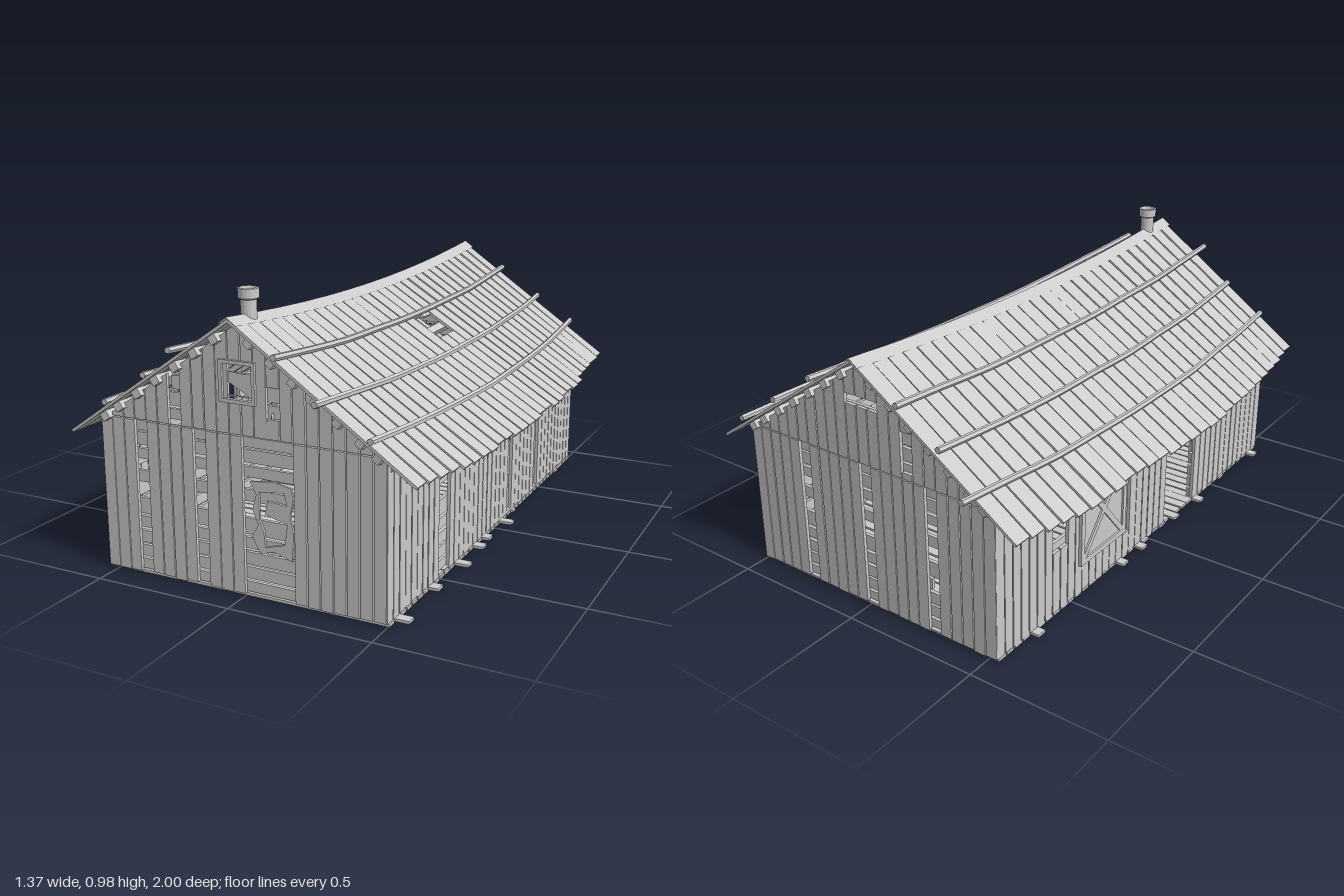
import * as THREE from 'three';

const mat = new THREE.MeshStandardMaterial({ color: 0xcccccc, flatShading: true, side: THREE.DoubleSide });
const RX = -0.012; // ridge x
let seed = 7;
const rnd = (a = 0, b = 1) => {
  seed = (seed * 16807) % 2147483647;
  return a + (b - a) * (seed / 2147483647);
};
const V = (x, y, z) => new THREE.Vector3(x, y, z);

function add(parent, geo, name) {
  const m = new THREE.Mesh(geo, mat);
  m.name = name;
  parent.add(m);
  return m;
}
function group(parent, name) {
  const g = new THREE.Group();
  g.name = name;
  parent.add(g);
  return g;
}
// Box given by its limits
function box(parent, x0, x1, y0, y1, z0, z1, name) {
  const m = add(parent, new THREE.BoxGeometry(x1 - x0, y1 - y0, z1 - z0), name);
  m.position.set((x0 + x1) / 2, (y0 + y1) / 2, (z0 + z1) / 2);
  return m;
}
// Flat outline with thickness d, optional hole
function plate(parent, pts, z, d, name, hole) {
  const s = new THREE.Shape(pts.map(p => new THREE.Vector2(p[0], p[1])));
  if (hole) s.holes.push(new THREE.Path(hole.map(p => new THREE.Vector2(p[0], p[1]))));
  const m = add(parent, new THREE.ExtrudeGeometry(s, { depth: d, bevelEnabled: false }), name);
  m.position.z = z;
  return m;
}
// Straight plank from a to b, w wide along z, t thick
function plank(parent, a, b, w, t, name) {
  const x = b.clone().sub(a), len = x.length();
  x.normalize();
  const y = V(0, 0, 1).cross(x).normalize();
  const m = add(parent, new THREE.BoxGeometry(len, t, w), name);
  m.quaternion.setFromRotationMatrix(new THREE.Matrix4().makeBasis(x, y, x.clone().cross(y)));
  m.position.copy(a).add(b).multiplyScalar(0.5);
  return m;
}

// Sagging roof surface: t runs from ridge (0) to eave (1)
function roofPoint(side, t, z, lift = 0) {
  const u = (z / 0.94) ** 2;
  return V(RX + side * t * (0.675 - 0.055 * u),
    0.86 + 0.042 * u - t * (0.41 + 0.02 * u) + lift, z);
}

// Remove openings from the interval [a,b]
function pieces(a, b, cuts) {
  let list = [[a, b]];
  for (const [c, d] of cuts) {
    list = list.flatMap(([p, q]) => d <= p || c >= q ? [[p, q]] : [[p, c], [d, q]]).filter(([p, q]) => q - p > 0.004);
  }
  return list;
}

const LATHS = [[0.015, 0.05], [0.06, 0.1], [0.108, 0.15], [0.162, 0.2], [0.21, 0.265], [0.32, 0.36],
  [0.4, 0.435], [0.447, 0.49], [0.497, 0.53], [0.55, 0.585], [0.595, 0.64], [0.65, 0.695], [0.705, 0.735], [0.77, 0.8]];

// Vertical boards over horizontal laths; local x along the wall, local z outward.
// gaps: missing boards, holes: openings through boards and laths; each [u0,u1,y0,y1]
function wall(parent, name, u0, u1, n, gableCentre, gaps, holes) {
  const g = group(parent, name), p = (u1 - u0) / n;
  const all = gaps.concat(holes);
  const top = u => 0.878 - 0.69 * Math.abs(u - gableCentre);
  for (let i = 0; i < n; i++) {
    const a = u0 + i * p + rnd(0.001, 0.003), b = u0 + (i + 1) * p - rnd(0.001, 0.003), c = (a + b) / 2;
    const cuts = all.filter(h => h[0] < c && c < h[1]).map(h => [h[2], h[3]]);
    for (const [s, e] of pieces(0.008 + rnd(0, 0.006), 0.533, cuts)) box(g, a, b, s, e, -0.012, 0, 'wallBoard');
    if (gableCentre === null) continue;
    const low = Math.min(top(a), top(b));
    for (const [s, e] of pieces(0.537, low, cuts)) {
      const pts = [[a, s], [b, s], [b, e], [a, e]];
      if (e === low) {
        pts.splice(2, 2, [b, top(b)]);
        if (a < gableCentre && b > gableCentre) pts.push([gableCentre, top(gableCentre)]);
        pts.push([a, top(a)]);
      }
      plate(g, pts, -0.012, 0.012, 'gableBoard');
    }
  }
  for (const [s, e] of LATHS) {
    let l = u0 + 0.01, r = u1 - 0.01;
    if (s > 0.54) {
      if (gableCentre === null) break;
      const h = (0.865 - e) / 0.69;
      l = gableCentre - h; r = gableCentre + h;
    }
    const cuts = holes.filter(h => h[2] < (s + e) / 2 && (s + e) / 2 < h[3]);
    for (const [a, b] of pieces(l, r, cuts)) box(g, a, b, s, e, -0.026, -0.014, 'lath');
  }
  return g;
}

function buildRoof(root) {
  const n = 28, w = 1.88 / n;
  for (const side of [-1, 1]) {
    const roof = group(root, side > 0 ? 'leftRoofSlope' : 'rightRoofSlope');
    let end = 1;
    for (let i = 0; i < n; i++) {
      const z = -0.94 + (i + 0.5) * w;
      if (i % 2 === 0) end = rnd(0.985, 1.015);
      const hole = side > 0 && z > -0.15 && z < 0 ? [[rnd(0.25, 0.3), rnd(0.4, 0.44)]] : [];
      const twist = rnd(-0.006, 0.006);
      for (const [a, b] of pieces(0, end, hole)) {
        const m = plank(roof, roofPoint(side, a, z), roofPoint(side, b, z), w - rnd(0.003, 0.009), 0.01, 'roofBoard');
        m.rotateY(twist);
      }
    }
    // Purlins under the boards, with square ends showing at the gables
    for (const t of [0.1, 0.22, 0.34, 0.46, 0.58, 0.7, 0.79]) {
      for (let i = 0; i < 6; i++) {
        const a = roofPoint(side, t, -0.925 + i * 1.85 / 6, -0.024), b = roofPoint(side, t, -0.925 + (i + 1) * 1.85 / 6, -0.024);
        const m = add(roof, new THREE.BoxGeometry(0.028, 0.028, a.distanceTo(b)), 'purlin');
        m.position.copy(a).add(b).multiplyScalar(0.5);
        m.lookAt(b);
        m.rotateZ(side * -0.6);
      }
    }
    // Rafters with tails under the eaves
    for (let i = 0; i < 10; i++) {
      const z = -0.87 + i * 0.193;
      plank(roof, roofPoint(side, 0.02, z, -0.05), roofPoint(side, 0.83, z, -0.045), 0.025, 0.025, 'rafter');
    }
  }
  // Bent weight poles: side, slope position, z limits
  const poles = [[-1, 0.28, -0.94, 1], [-1, 0.525, -0.93, 0.93], [-1, 0.765, -1, 0.94],
    [1, 0.27, -0.96, 0.95], [1, 0.53, -0.97, 1], [1, 0.765, -0.985, 0.94]];
  for (const [side, t, z0, z1] of poles) {
    const pts = Array.from({ length: 10 }, (_, i) => {
      const p = roofPoint(side, t, z0 + (z1 - z0) * i / 9, 0.016);
      return p.add(V(rnd(-0.004, 0.004), rnd(0, 0.003), 0));
    });
    const pole = group(root, 'roofPole');
    add(pole, new THREE.TubeGeometry(new THREE.CatmullRomCurve3(pts), 18, 0.011, 6), 'poleShaft');
    for (const p of [pts[0], pts[9]]) {
      const cap = add(pole, new THREE.CircleGeometry(0.011, 6), 'poleEnd');
      cap.position.copy(p);
    }
  }
  // Ridge cap following the sag
  for (let i = 0; i < 12; i++) {
    for (const side of [-1, 1]) {
      const za = -0.945 + i * 0.1575, zb = za + 0.1575, v = [];
      for (const z of [za, zb]) for (const t of [0, 0.058]) v.push(roofPoint(side, t, z, 0.009));
      const geo = new THREE.BufferGeometry().setFromPoints(v);
      geo.setIndex(side > 0 ? [0, 2, 1, 1, 2, 3] : [0, 1, 2, 1, 3, 2]);
      geo.computeVertexNormals();
      add(root, geo, 'ridgeCap');
    }
  }
}

export function createModel() {
  const root = new THREE.Group();
  root.name = 'oldBarn';

  // Floor planks, some sticking out past the walls
  const floor = group(root, 'floor');
  for (let i = 0; i < 42; i++) {
    const z = -0.9 + i * 0.0428, long = rnd() > 0.75 ? 0.035 : 0;
    const m = box(floor, -0.535 - rnd(0, long), 0.505 + rnd(0, long * 1.4), 0, 0.01, z, z + 0.0428 - rnd(0.002, 0.009), 'floorPlank');
    m.rotation.y = rnd(-0.003, 0.003);
  }

  // Four walls
  const front = wall(root, 'frontWall', -0.535, 0.502, 23, RX,
    [[-0.405, -0.36, 0, 0.533], [-0.174, -0.13, 0, 0.533], [-0.25, -0.205, 0.537, 0.71], [0.025, 0.185, 0, 0.533], [0.08, 0.125, 0.6, 0.7]],
    [[-0.06, 0.055, 0.645, 0.765]]);
  front.position.z = 0.903;
  const back = wall(root, 'backWall', -0.502, 0.535, 23, -RX,
    [[-0.29, -0.24, 0.02, 0.533], [-0.01, 0.04, 0.02, 0.533], [0.27, 0.32, 0.02, 0.533], [0.17, 0.2, 0.56, 0.7]],
    [[-0.055, 0.07, 0.735, 0.77], [-0.29, -0.24, 0.35, 0.41], [-0.01, 0.04, 0.26, 0.33], [0.27, 0.32, 0.17, 0.21]]);
  back.position.z = -0.91;
  back.rotation.y = Math.PI;
  const left = wall(root, 'leftWall', -0.9, 0.91, 42, null,
    [[-0.515, -0.425, 0.02, 0.52], [0.12, 0.165, 0.02, 0.52], [0.425, 0.475, 0.02, 0.52]],
    [[0.12, 0.165, 0.11, 0.17], [-0.51, -0.43, 0.36, 0.4]]);
  left.position.x = 0.502;
  left.rotation.y = Math.PI / 2;
  const right = wall(root, 'rightWall', -0.91, 0.9, 42, null, [[-0.16, -0.12, 0.1, 0.42]],
    [[0.12, 0.34, 0, 0.533], [-0.62, -0.54, 0.24, 0.36]]);
  right.position.x = -0.535;
  right.rotation.y = -Math.PI / 2;

  // Corner posts
  for (const x of [-0.505, 0.472]) for (const z of [-0.88, 0.873]) box(root, x - 0.015, x + 0.015, 0.01, 0.53, z - 0.015, z + 0.015, 'cornerPost');

  // Broken front door and the splintered board ends above it
  plate(front, [[0.028, 0.39], [0.05, 0.35], [0.035, 0.3], [0.055, 0.25], [0.03, 0.21], [0.06, 0.155], [0.11, 0.17], [0.175, 0.15],
    [0.182, 0.24], [0.17, 0.3], [0.182, 0.35], [0.175, 0.39], [0.11, 0.4]], -0.013, 0.008, 'brokenDoor',
    [[0.06, 0.36], [0.15, 0.37], [0.16, 0.33], [0.09, 0.335], [0.08, 0.29], [0.16, 0.27], [0.15, 0.2], [0.08, 0.18], [0.075, 0.23], [0.06, 0.27]]);
  for (const x of [0.085, 0.105]) plate(front, [[x, 0.537], [x + 0.018, 0.537], [x + 0.01, 0.62]], -0.012, 0.012, 'splinter');

  // Gable window frame with a diagonal brace
  plate(front, [[-0.068, 0.637], [0.062, 0.637], [0.062, 0.772], [-0.068, 0.772]], -0.005, 0.014, 'windowFrame',
    [[-0.055, 0.65], [0.05, 0.65], [0.05, 0.76], [-0.055, 0.76]]);
  plate(front, [[-0.055, 0.655], [0.05, 0.655], [0.05, 0.735], [0.01, 0.73], [-0.055, 0.735]], -0.01, 0.005, 'windowBoard',
    [[-0.045, 0.66], [0.035, 0.66], [-0.04, 0.7]]);

  // Hanging braced door on the right wall
  const door = group(right, 'slidingDoor');
  box(door, -0.46, -0.18, 0.12, 0.44, 0.001, 0.006, 'doorPanel');
  for (const y of [0.12, 0.42]) box(door, -0.46, -0.18, y, y + 0.02, 0.006, 0.013, 'doorRail');
  for (const u of [-0.46, -0.2]) box(door, u, u + 0.02, 0.12, 0.44, 0.006, 0.013, 'doorStile');
  for (const s of [-1, 1]) {
    const m = add(door, new THREE.BoxGeometry(0.37, 0.02, 0.006), 'doorBrace');
    m.position.set(-0.32, 0.28, 0.009);
    m.rotation.z = s * 0.86;
  }

  buildRoof(root);

  // Stove pipe with a wider collar
  const profile = [[0.026, 0.86], [0.026, 0.945], [0.034, 0.95], [0.034, 0.98], [0.028, 0.982], [0.022, 0.95], [0.022, 0.88]];
  const pipe = add(root, new THREE.LatheGeometry(profile.map(p => new THREE.Vector2(...p)), 16), 'chimneyPipe');
  pipe.position.set(RX, 0, 0.815);
  return root;
}
